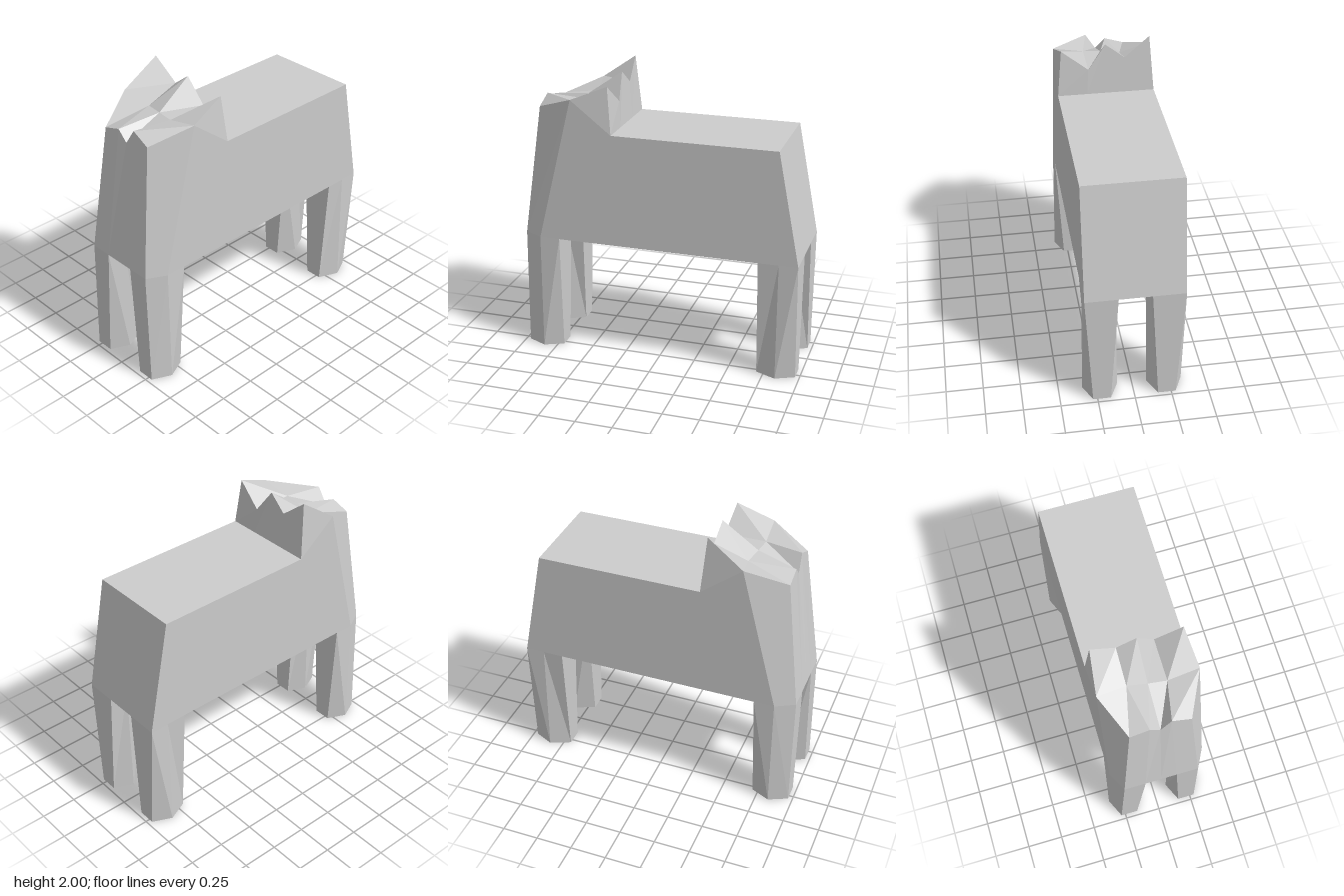
import * as THREE from 'three';

const BELLY = 0.83, DECK = 1.61, W = 0.33;

// Builds a mesh with hard facets from a list of triangle corners
function facetMesh(name, tris, material) {
  const g = new THREE.BufferGeometry();
  g.setAttribute('position', new THREE.Float32BufferAttribute(tris.flat(), 3));
  g.computeVertexNormals();
  const mesh = new THREE.Mesh(g, material);
  mesh.name = name;
  return mesh;
}

// Joins two rows of points, both running left to right seen from outside
function strip(lower, upper) {
  const out = [];
  for (let i = 0; i < lower.length - 1; i++) {
    out.push(lower[i], lower[i + 1], upper[i + 1], lower[i], upper[i + 1], upper[i]);
  }
  return out;
}

// Fills a polygon, counter-clockwise seen from outside
function fan(pts) {
  const out = [];
  for (let i = 1; i < pts.length - 1; i++) out.push(pts[0], pts[i], pts[i + 1]);
  return out;
}

// Mirrors triangles across x = 0 and keeps them facing outward
const mirror = (tris) => tris.map(([x, y, z]) => [-x, y, z]).reverse();
const row = (xs, y, z) => xs.map((x) => [x, y, z]);

export function createModel() {
  const group = new THREE.Group();
  group.name = 'animal';
  const grey = new THREE.MeshStandardMaterial({ color: 0xcccccc });
  grey.name = 'light grey';
  grey.flatShading = true;

  // Head rows: muzzle rim, brow, and the peaked ears and crest
  const rim = [[-0.2, 1.71, 0.86], [-0.07, 1.75, 0.86], [0, 1.68, 0.86], [0.07, 1.79, 0.855], [0.2, 1.73, 0.86]];
  const brow = [[-W, 1.83, 0.59], [-0.13, 1.78, 0.56], [0, 1.79, 0.585], [0.12, 1.79, 0.6], [W, 1.83, 0.59]];
  const peaks = [[-0.3, 2, 0.345], [-0.13, 1.86, 0.33], [0, 1.96, 0.34], [0.12, 1.79, 0.32], [0.3, 1.93, 0.34]];
  const nape = row([W, 0.13, 0, -0.12, -W], DECK, 0.31);
  const earSide = (i) => [nape[i ? 0 : 4], brow[i], peaks[i]];
  const [la, lb, lc] = earSide(4);
  group.add(facetMesh('head', [
    ...strip(rim, brow),
    ...strip(brow, peaks),
    ...strip(nape, [...peaks].reverse()),
    la, lc, lb,
    ...earSide(0),
  ], grey));

  // Body: flanks, chest, back, rump and belly
  const flank = fan([[W, BELLY, 0.84], [W, BELLY, -0.97], [W, DECK, -0.82], [W, DECK, 0.31], [W, 1.83, 0.59]]);
  const chestBase = row([-0.26, -0.11, 0, 0.11, 0.26], BELLY, 0.97);
  const rumpTop = row([W, -W], DECK, -0.82);
  const belly = [...row([-0.26, 0.26], BELLY, 0.97), [W, BELLY, 0.84],
    ...row([W, -W], BELLY, -0.97), [-W, BELLY, 0.84]];
  group.add(facetMesh('body', [
    ...flank, ...mirror(flank),
    ...strip(chestBase, rim),
    ...strip([chestBase[4], [W, BELLY, 0.84]], [rim[4], brow[4]]),
    ...strip([[-W, BELLY, 0.84], chestBase[0]], [brow[0], rim[0]]),
    ...strip(row([-W, W], DECK, 0.31), row([-W, W], DECK, -0.82)),
    ...strip(row([W, -W], BELLY, -0.97), rumpTop),
    ...fan(belly.reverse()),
  ], grey));

  // Legs: squarish at the belly, six-sided at the foot
  const footXs = [0.16, 0.28, 0.34, 0.28, 0.16, 0.1];
  const legs = {
    front: { zs: [0.97, 0.97, 0.84, 0.71, 0.71, 0.84],
      top: [[0.11, 0.97], [0.26, 0.97], [W, 0.84], [W, 0.7], [0.11, 0.7], [0.11, 0.84]] },
    back: { zs: [-0.7, -0.7, -0.84, -0.97, -0.97, -0.84],
      top: [[0.11, -0.7], [W, -0.7], [W, -0.84], [W, -0.97], [0.11, -0.97], [0.11, -0.84]] },
  };
  for (const [end, { zs, top }] of Object.entries(legs)) {
    const foot = footXs.map((x, i) => [x, 0, zs[i]]);
    const hip = top.map(([x, z]) => [x, BELLY, z]);
    const tris = [...strip([...foot, foot[0]], [...hip, hip[0]]), ...fan([...foot].reverse())];
    group.add(facetMesh(end + 'LeftLeg', tris, grey));
    group.add(facetMesh(end + 'RightLeg', mirror(tris), grey));
  }
  return group;
}
